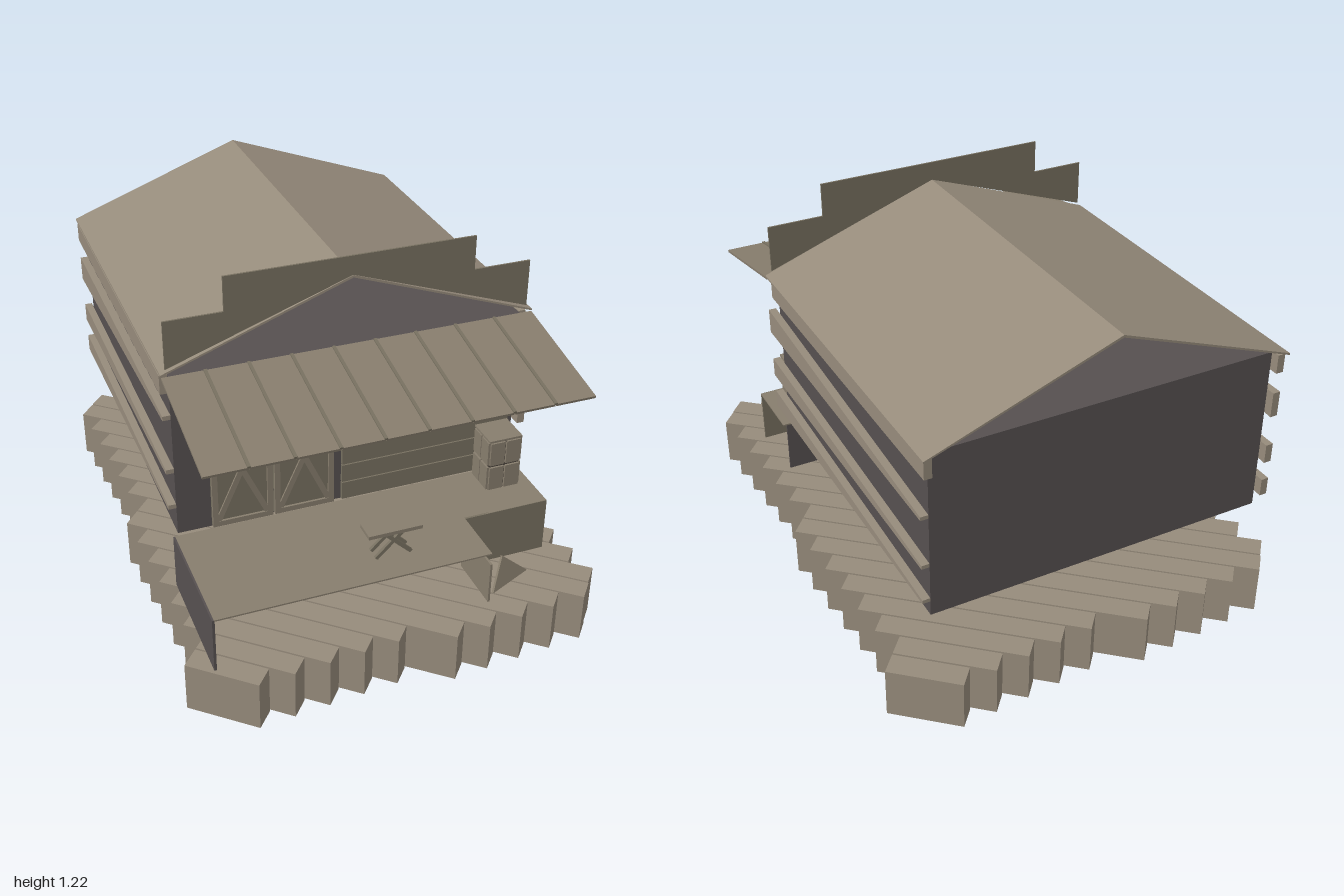
import * as THREE from 'three';

const mat = (name, color, double) => {
  const m = new THREE.MeshStandardMaterial({ color, flatShading: true });
  m.name = name;
  if (double) m.side = THREE.DoubleSide;
  return m;
};

export function createModel() {
  const tan = mat('pale wood', 0x968b7b, true);
  const wood = mat('weathered wood', 0x877d6d, true);
  const olive = mat('aged board', 0x777060, true);
  const dark = mat('dark wall', 0x565050, true);
  const line = mat('seam', 0x4a443c, true);

  const model = new THREE.Group();
  model.name = 'porchedCabin';
  // everything above the base is turned in plan
  const house = new THREE.Group();
  house.name = 'house';
  house.rotation.y = 0.715;
  model.add(house);

  const add = (name, geo, material, parent = house) => {
    const m = new THREE.Mesh(geo, material);
    m.name = name;
    parent.add(m);
    return m;
  };
  // box given by its min / max limits
  const box = (name, material, x0, x1, y0, y1, z0, z1, parent = house) => {
    const m = add(name, new THREE.BoxGeometry(x1 - x0, y1 - y0, z1 - z0), material, parent);
    m.position.set((x0 + x1) / 2, (y0 + y1) / 2, (z0 + z1) / 2);
    return m;
  };
  const shape = (pts) => new THREE.Shape(pts.map((p) => new THREE.Vector2(p[0], p[1])));
  const plate = (name, material, pts, depth) =>
    add(name, new THREE.ExtrudeGeometry(shape(pts), { depth, bevelEnabled: false }), material);
  // beam between two points in a plane of constant z
  const beam = (name, material, a, b, z, width, depth) => {
    const dx = b[0] - a[0], dy = b[1] - a[1];
    const m = add(name, new THREE.BoxGeometry(Math.hypot(dx, dy), width, depth), material);
    m.position.set((a[0] + b[0]) / 2, (a[1] + b[1]) / 2, z);
    m.rotation.z = Math.atan2(dy, dx);
    return m;
  };

  // stepped base of parallel beams
  const rightEnd = (r) => r <= 14
    ? 0.038 + 0.08 * Math.floor((r * 12) / 14)
    : 1 - 0.08 * Math.round(((r - 15) * 10) / 9);
  for (let r = 0; r < 25; r++) {
    const z = -0.96 + r * 0.08;
    box('baseBeam', tan, -rightEnd(24 - r), rightEnd(r), 0, 0.167, z - 0.037, z + 0.037, model);
  }

  // house body
  const L = -0.59, R = 0.55, B = -0.77, F = 0.36;
  box('walls', dark, L, R, 0.365, 0.925, B, F);

  // thin gable roof with open ends
  const ridge = [-0.02, 1.16];
  plate('roof', tan, [[-0.615, 0.94], ridge, [0.585, 0.94], [0.585, 0.934], [-0.02, 1.152], [-0.615, 0.934]], 1.19)
    .position.z = -0.82;

  // stepped false front standing above the roof line
  plate('falseFront', olive, [[-0.6, 0.955], [-0.6, 1.11], [-0.418, 1.11], [-0.418, 1.215],
    [0.36, 1.12], [0.376, 1.11], [0.565, 1.11], [0.565, 0.955], ridge], 0.006).position.z = 0.362;
  plate('falseFrontTop', olive, [[-0.418, 1.215], [-0.418, 1.222], [0.376, 1.222], [0.376, 1.11]], 0.006)
    .position.z = 0.362;

  // side planks: one full board on top, then tapering ones
  for (const side of [-1, 1]) {
    const face = side < 0 ? L : R;
    const x0 = side < 0 ? face - 0.025 : face, x1 = x0 + 0.025;
    box('eavePlank', tan, x0, x1, 0.865, 0.928, -0.8, 0.35);
    for (const [top, h] of [[0.795, 0.085], [0.605, 0.065], [0.475, 0.06]]) {
      const wide = side < 0 ? -0.8 : 0.4, tip = side < 0 ? 0.36 : -0.77;
      // shape runs along z, then turned to lie against the wall
      const pts = side < 0
        ? [[-wide, top], [-tip, top], [-tip, top - 0.015], [-wide, top - h]]
        : [[-wide, top], [-tip, top - h + 0.012], [-tip, top - h], [-wide, top - h]];
      const p = plate('sidePlank', tan, pts, 0.025);
      p.rotation.y = Math.PI / 2;
      p.position.x = x0;
    }
  }

  // awning: sloping sheet with seams
  const awning = new THREE.Group();
  awning.name = 'awning';
  awning.position.set(-0.015, 0.93, 0.37);
  awning.rotation.x = Math.atan2(0.08, 0.41);
  house.add(awning);
  const len = Math.hypot(0.08, 0.41);
  const step = 1.2 / 9;
  for (let i = 0; i < 9; i++) {
    const x = -0.6 + i * step;
    box('awningPanel', wood, x + 0.002, x + step - 0.002, -0.005, 0.003, 0, len, awning);
    if (i) box('awningSeam', olive, x - 0.005, x + 0.005, 0, 0.007, 0, len, awning);
  }

  // double barn door with crossed braces
  for (const x of [-0.48, -0.277]) {
    const w = 0.197, y0 = 0.37, y1 = 0.76, t = 0.018;
    box('doorLeaf', olive, x, x + w, y0, y1, F, F + 0.01);
    for (const e of [x, x + w - t]) box('doorStile', wood, e, e + t, y0, y1, F + 0.01, F + 0.018);
    for (const e of [y0, y1 - t]) box('doorRail', wood, x, x + w, e, e + t, F + 0.01, F + 0.018);
    beam('doorBrace', wood, [x + t, y0 + t], [x + w - t, y1 - t], F + 0.013, t, 0.006);
    beam('doorBrace', wood, [x + t, y1 - t], [x + w - t, y0 + t], F + 0.013, t, 0.006);
  }

  // window and boarded lower front
  box('windowShutter', wood, 0.175, 0.325, 0.65, 0.77, F, F + 0.009);
  for (let i = 0; i < 3; i++) {
    const y = 0.368 + i * 0.066;
    box('frontBoard', olive, -0.05, 0.53, y, y + 0.062, F, F + 0.012);
  }

  // porch: deck with stair notch, side and back skirts
  const deck = plate('porchDeck', wood, [[-0.6, -0.36], [0.573, -0.36], [0.573, -0.59],
    [0.283, -0.59], [0.283, -0.78], [-0.6, -0.78]], 0.005);
  deck.rotation.x = -Math.PI / 2;
  deck.position.y = 0.35;
  box('porchSideSkirt', dark, -0.606, -0.598, 0.167, 0.354, 0.36, 0.78);
  box('porchBackSkirt', dark, -0.6, 0.56, 0.167, 0.352, 0.362, 0.368);
  box('stairRiser', olive, 0.283, 0.573, 0.167, 0.355, 0.585, 0.592);
  box('stairCheek', wood, 0.28, 0.287, 0.167, 0.312, 0.59, 0.78);
  const scrap = plate('looseBoard', wood, [[-0.07, 0], [0.08, 0.03], [-0.02, 0.11]], 0.008);
  scrap.position.set(0.37, 0.175, 0.74);
  scrap.rotation.set(-0.3, 0.3, 0);

  // slatted crate stack beside the wall
  box('crateCore', line, 0.41, 0.515, 0.37, 0.55, 0.39, 0.49);
  for (let row = 0; row < 2; row++) {
    for (let col = 0; col < 2; col++) {
      const x = 0.41 + col * 0.055, z = 0.39 + col * 0.052, y = 0.372 + row * 0.092;
      box('crateFrontPanel', wood, x, x + 0.05, y, y + 0.083, 0.49, 0.497);
      box('crateBackPanel', wood, x, x + 0.05, y, y + 0.083, 0.383, 0.39);
      for (const s of [0.403, 0.515]) box('crateSidePanel', wood, s, s + 0.007, y, y + 0.083, z, z + 0.048);
    }
  }
  box('crateLid', wood, 0.405, 0.52, 0.55, 0.557, 0.385, 0.495);

  // small table with crossed legs
  box('tableTop', wood, -0.09, 0.085, 0.443, 0.455, 0.625, 0.695);
  for (const z of [0.64, 0.68]) {
    beam('tableLeg', olive, [-0.06, 0.358], [0.03, 0.445], z, 0.012, 0.01);
    beam('tableLeg', olive, [0.055, 0.358], [-0.035, 0.445], z, 0.012, 0.01);
  }

  return model;
}
